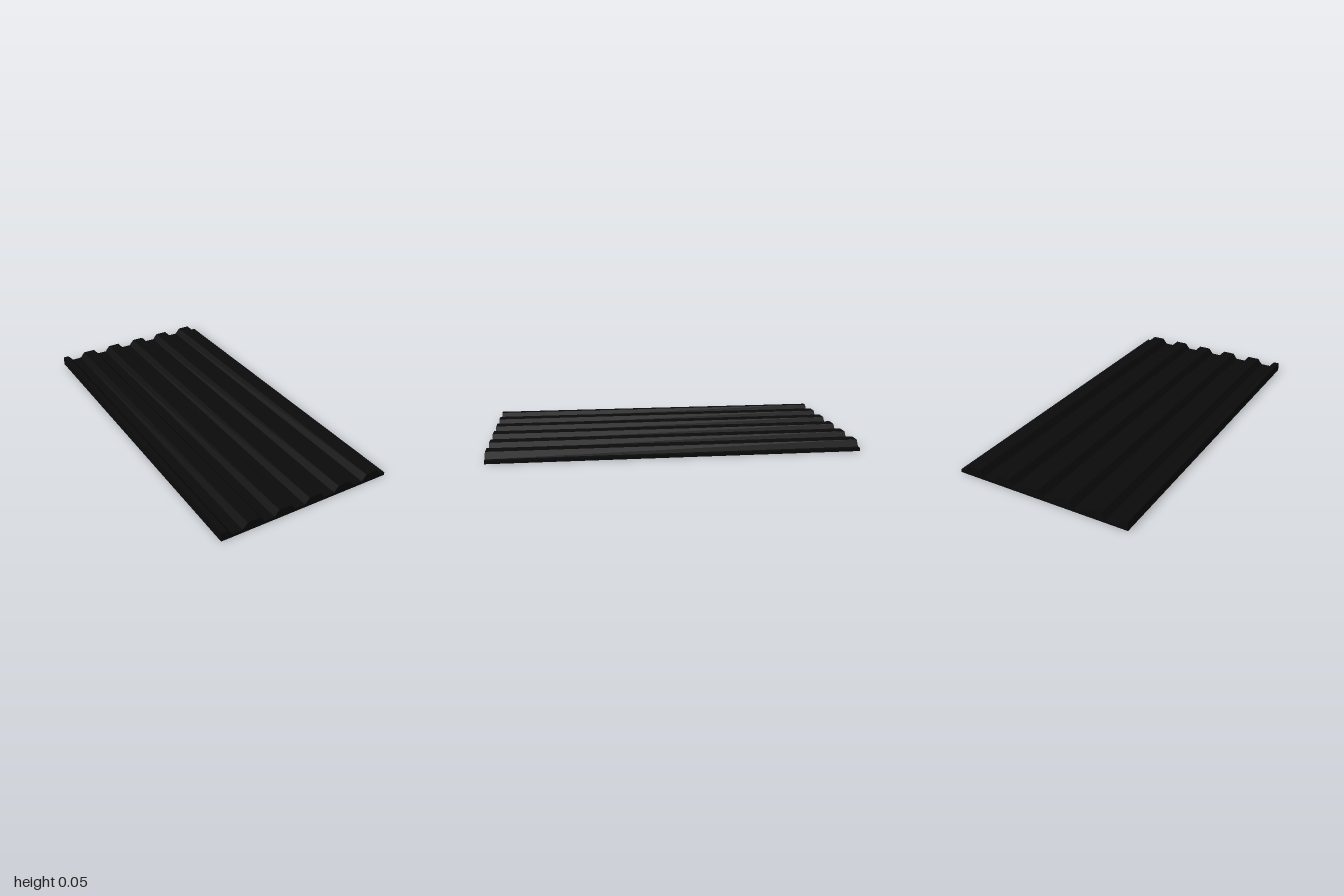
import * as THREE from 'three';

const LENGTH = 2, HALF_WIDTH = 0.5;
const BASE = 0.017, TOP = 0.05;            // heights of the valleys and ribs
const PITCH = 0.182, RIB_TOP = 0.035, RIB_FOOT = 0.062; // rib spacing and half widths

// Ribbed cross-section; the first rib is cut in half by the left edge
function panelShape() {
  const points = [[-HALF_WIDTH, 0], [HALF_WIDTH, 0], [HALF_WIDTH, BASE]];
  for (let i = 5; i >= 0; i--) {
    const c = -HALF_WIDTH + i * PITCH - 0.001;
    points.push([c + RIB_FOOT, BASE], [c + RIB_TOP, TOP]);
    if (i > 0) points.push([c - RIB_TOP, TOP], [c - RIB_FOOT, BASE]);
  }
  points.push([-HALF_WIDTH, TOP]);
  return new THREE.Shape(points.map(([x, y]) => new THREE.Vector2(x, y)));
}

// Keep only the triangles whose downward-facing state matches
function pickFaces(source, downward) {
  const pos = source.attributes.position, normal = source.attributes.normal;
  const kept = [];
  for (let i = 0; i < pos.count; i += 3) {
    if ((normal.getY(i) < -0.9) !== downward) continue;
    for (let k = i; k < i + 3; k++) kept.push(pos.getX(k), pos.getY(k), pos.getZ(k));
  }
  const geometry = new THREE.BufferGeometry();
  geometry.setAttribute('position', new THREE.Float32BufferAttribute(kept, 3));
  geometry.computeVertexNormals();
  return geometry;
}

export function createModel() {
  const group = new THREE.Group();
  group.name = 'ribbedPanel';

  const solid = new THREE.ExtrudeGeometry(panelShape(), { depth: LENGTH, bevelEnabled: false });
  solid.translate(0, 0, -LENGTH / 2);

  // Dark ribbed sheet with its ends and edges
  const sheet = new THREE.Mesh(pickFaces(solid, false), new THREE.MeshStandardMaterial({ color: 0x0a0a0a }));
  sheet.name = 'ribbedSheet';

  // Plain pale underside
  const underside = new THREE.Mesh(pickFaces(solid, true), new THREE.MeshStandardMaterial({ color: 0xcccccc }));
  underside.name = 'underside';

  group.add(sheet, underside);
  return group;
}
